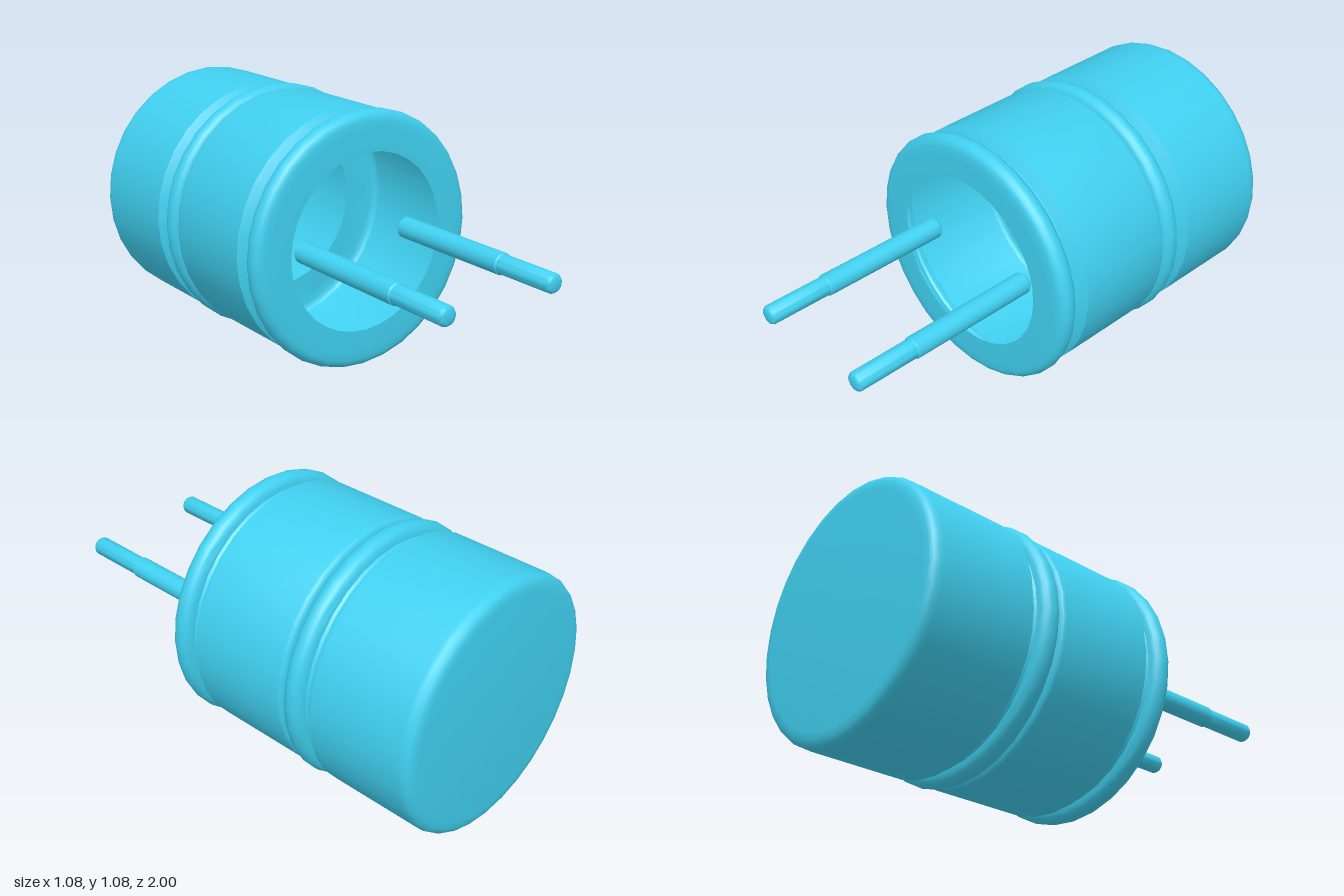
import * as THREE from 'three';
import { toCreasedNormals } from 'three/addons/utils/BufferGeometryUtils.js';

const CENTRE_Y = 0.545;
const material = new THREE.MeshStandardMaterial({ color: 0x40d0f0, side: THREE.DoubleSide });

// Turned part along z; profile points are [radius, z] from back to front
function turned(name, profile, segments, x = 0) {
  const points = profile.map(([r, z]) => new THREE.Vector2(r, z));
  const lathe = new THREE.LatheGeometry(points, segments);
  lathe.rotateX(Math.PI / 2);
  const mesh = new THREE.Mesh(toCreasedNormals(lathe, 0.65), material);
  mesh.name = name;
  mesh.position.set(x, CENTRE_Y, 0);
  return mesh;
}

// Crimped groove, rolled rim and flat lip that open a shell at its front end
function crimpedRim(front, lipRadius) {
  const rim = [[0.53, -0.145], [0.515, -0.135], [0.487, -0.118], [0.485, -0.1]];
  rim.push([0.492, -0.09]);
  // Rolled bead
  for (let i = 0; i <= 8; i++) {
    const a = -Math.PI * 0.42 + (i / 8) * Math.PI * 0.9;
    rim.push([0.5 + 0.04 * Math.cos(a), -0.045 + 0.043 * Math.sin(a)]);
  }
  rim.push([0.47, 0], [lipRadius, 0]);
  return rim.map(([r, z]) => [r, z + front]);
}

export function createModel() {
  const group = new THREE.Group();
  group.name = 'cannedComponent';

  // Closed rear shell with rounded base
  group.add(turned('rearShell', [
    [0, -1], [0.47, -1], [0.5, -0.997], [0.519, -0.987], [0.528, -0.97], [0.53, -0.95],
    ...crimpedRim(-0.392, 0.36),
  ], 32));

  // Front shell, open at both ends
  group.add(turned('frontShell', [
    [0.36, -0.392], [0.495, -0.392], [0.515, -0.388], [0.527, -0.378], [0.53, -0.365],
    ...crimpedRim(0.21, 0.375),
  ], 32));

  // Two contact pins with a slight step towards the tip
  const pin = [
    [0, 0.14], [0.036, 0.14], [0.045, 0.15], [0.045, 0.72], [0.04, 0.725],
    [0.04, 0.985], [0.034, 0.995], [0.022, 1], [0, 1],
  ];
  group.add(turned('rightPin', pin, 24, -0.272));
  group.add(turned('leftPin', pin, 24, 0.253));

  return group;
}
